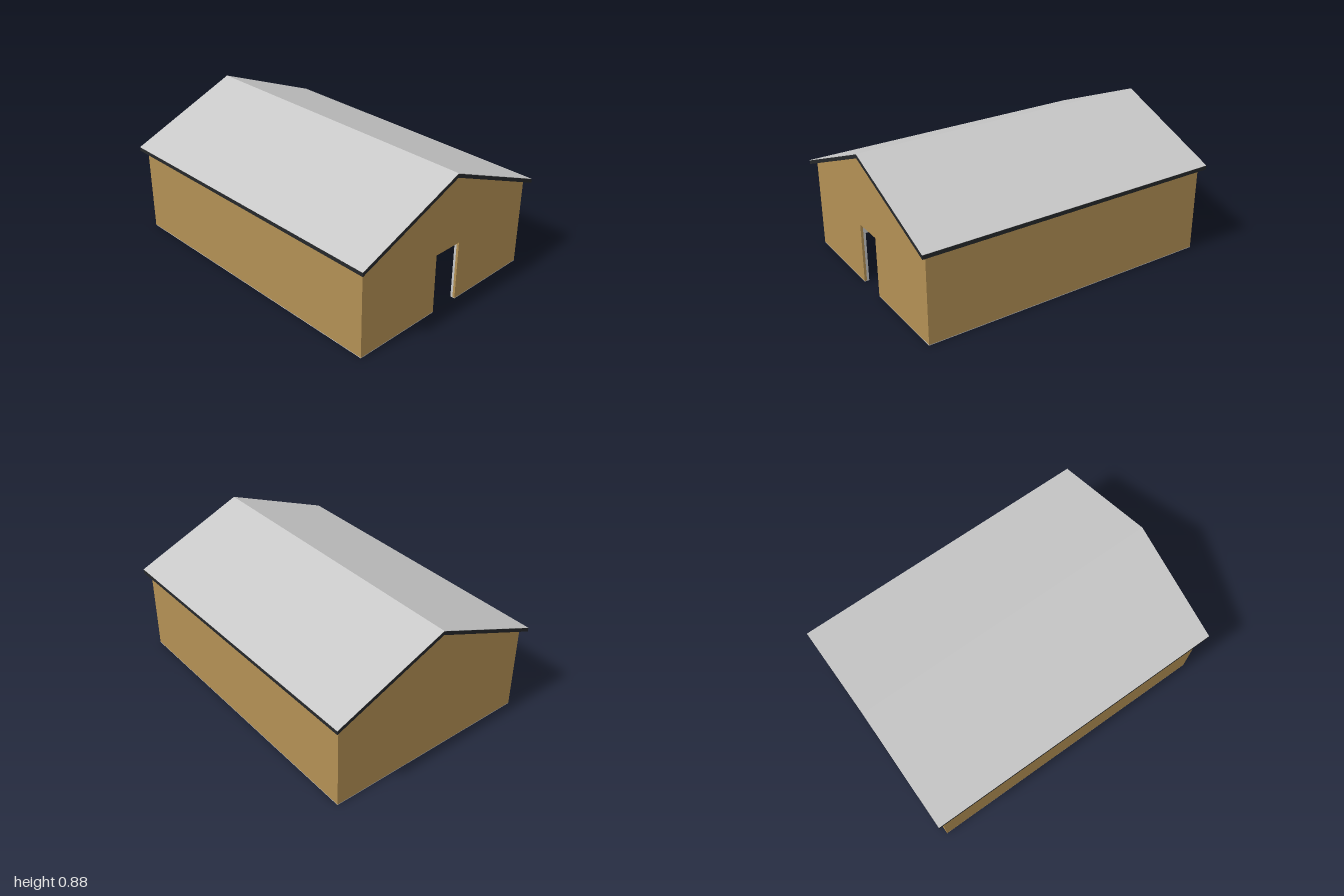
import * as THREE from 'three';

const brown = new THREE.MeshStandardMaterial({ color: 0xb39054 });
brown.name = 'wallBrown';
const grey = new THREE.MeshStandardMaterial({ color: 0xc8c8c8, side: THREE.DoubleSide });
grey.name = 'lightGrey';
const black = new THREE.MeshStandardMaterial({ color: 0x26282a });
black.name = 'trimBlack';

const W = 0.69, D = 0.965;        // half width and half depth of the walls
const SKIN = 0.015, SILL = 0.004; // wall skin thickness, sill height
const DOOR = 0.098, DOOR_TOP = 0.387;
const CEILING = 0.56;
const EAVE_X = 0.725, RIDGE = 0.877, EAVE = 0.58, SLAB = 0.025;
const roofY = (x) => RIDGE - ((RIDGE - EAVE) * Math.abs(x)) / EAVE_X;

export function createModel() {
  const group = new THREE.Group();
  group.name = 'gabledShed';

  const add = (name, geometry, material, x = 0, y = 0, z = 0) => {
    const mesh = new THREE.Mesh(geometry, material);
    mesh.name = name;
    mesh.position.set(x, y, z);
    group.add(mesh);
    return mesh;
  };
  const box = (name, material, w, h, d, x, y, z) =>
    add(name, new THREE.BoxGeometry(w, h, d), material, x, y + h / 2, z);

  // Extrude an outline along z, starting at z
  const extrude = (name, material, points, depth, z) => {
    const shape = new THREE.Shape(points.map(([x, y]) => new THREE.Vector2(x, y)));
    return add(name, new THREE.ExtrudeGeometry(shape, { depth, bevelEnabled: false }), material, 0, 0, z);
  };
  const doorway = (y) => [[-DOOR, y], [-DOOR, DOOR_TOP], [DOOR, DOOR_TOP], [DOOR, y]];

  // Outer gable walls, the front one with a doorway
  const top = roofY(W) - SLAB;
  const gable = (door) => [[-W, SILL], ...(door ? doorway(SILL) : []), [W, SILL],
    [W, top], [0, RIDGE - SLAB], [-W, top]];
  extrude('frontWall', brown, gable(true), SKIN, D - SKIN);
  extrude('backWall', brown, gable(false), SKIN, -D);

  // Inner lining of the end walls
  const iw = W - SKIN, id = D - SKIN;
  const lining = (door) => [[-iw, 0], ...(door ? doorway(0) : []), [iw, 0], [iw, CEILING], [-iw, CEILING]];
  extrude('frontLining', grey, lining(true), SKIN, id - SKIN);
  extrude('backLining', grey, lining(false), SKIN, -id);

  // Side walls, linings and sills, mirrored
  for (const [side, s] of [['left', 1], ['right', -1]]) {
    box(`${side}Wall`, brown, SKIN, top - SILL, 2 * id, s * (W - SKIN / 2), SILL, 0);
    box(`${side}Lining`, grey, SKIN, CEILING, 2 * (id - SKIN), s * (iw - SKIN / 2), 0, 0);
    box(`${side}Sill`, grey, SKIN, SILL, 2 * D, s * (W - SKIN / 2), 0, 0);
    box(`${side}FrontSill`, grey, iw - DOOR, SILL, SKIN, (s * (iw + DOOR)) / 2, 0, D - SKIN / 2);
  }
  box('backSill', grey, 2 * iw, SILL, SKIN, 0, 0, -D + SKIN / 2);

  // Flat ceiling
  box('ceiling', grey, 2 * iw, 0.004, 2 * id, 0, CEILING, 0);

  // Dark roof slab with vertical eave edges
  extrude('roofSlab', black, [[-EAVE_X, EAVE - SLAB], [0, RIDGE - SLAB], [EAVE_X, EAVE - SLAB],
    [EAVE_X, EAVE], [0, RIDGE], [-EAVE_X, EAVE]], 2, -1);

  // Grey sheets covering both slopes
  const lift = 0.002;
  for (const [side, s] of [['left', 1], ['right', -1]]) {
    const outline = [[0, RIDGE - 0.001], [s * EAVE_X, EAVE - 0.001],
      [s * EAVE_X, EAVE + lift], [0, RIDGE + lift]];
    extrude(`${side}RoofSheet`, grey, outline, 2, -1);
  }
  return group;
}
